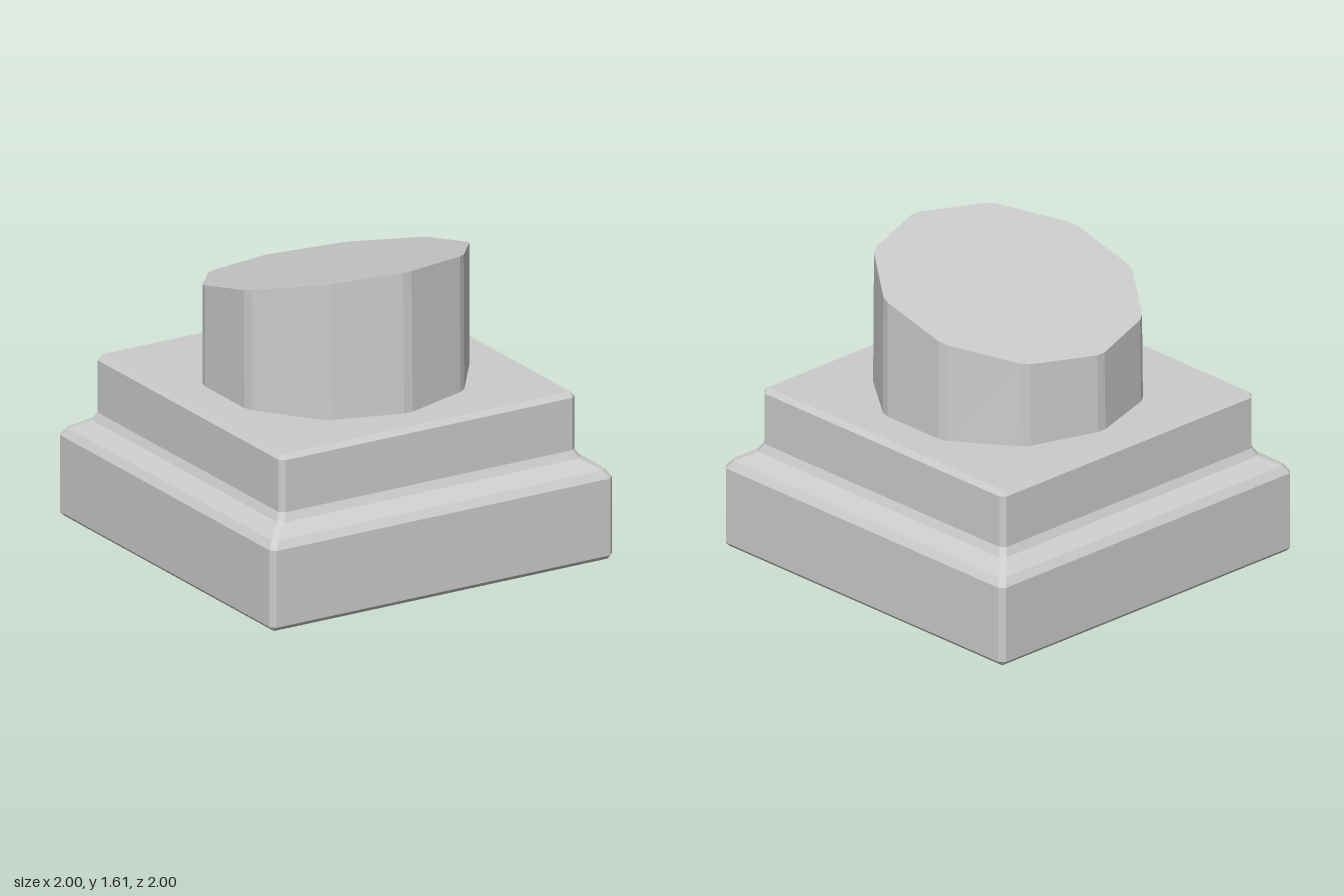
import * as THREE from 'three';

const material = new THREE.MeshStandardMaterial({ color: 0xcccccc, flatShading: true });

// Skin a stack of rings (counter-clockwise from above, bottom to top) and cap both ends
function loft(name, rings) {
  const n = rings[0].length;
  const index = [];
  for (let r = 0; r < rings.length - 1; r++) {
    for (let i = 0; i < n; i++) {
      const a = r * n + i, b = r * n + (i + 1) % n;
      index.push(a, b, b + n, a, b + n, a + n);
    }
  }
  const top = (rings.length - 1) * n;
  for (let i = 1; i < n - 1; i++) {
    index.push(0, i + 1, i);
    index.push(top, top + i, top + i + 1);
  }
  const indexed = new THREE.BufferGeometry();
  indexed.setAttribute('position', new THREE.Float32BufferAttribute(rings.flat(2), 3));
  indexed.setIndex(index);
  const geometry = indexed.toNonIndexed();
  geometry.computeVertexNormals();
  const mesh = new THREE.Mesh(geometry, material);
  mesh.name = name;
  return mesh;
}

// Square of half-width h at height y, corners cut by c
function squareRing(h, y, c) {
  const ring = [];
  let pair = [[h - c, h], [h, h - c]];
  for (let k = 0; k < 4; k++) {
    pair.forEach(([x, z]) => ring.push([x, y, z]));
    pair = pair.map(([x, z]) => [z, -x]);
  }
  return ring;
}

// Ten-sided ring with narrowly cut corners; height follows a rule of z
function decagonRing(radius, zScale, height) {
  const corners = [];
  for (let i = 0; i < 10; i++) {
    const a = (i * Math.PI) / 5;
    corners.push(new THREE.Vector2(Math.sin(a) * radius, Math.cos(a) * radius * zScale));
  }
  const cut = 0.062;
  return corners.flatMap((p, i) =>
    [corners[(i + 9) % 10], corners[(i + 1) % 10]].map((q) => {
      const v = p.clone().lerp(q, cut);
      return [v.x, height(v.y), v.y];
    }));
}

export function createModel() {
  const model = new THREE.Group();
  model.name = 'pedestal';

  // Stepped square base: half-width, height, corner cut
  const profile = [
    [0.975, 0, 0], [1, 0.025, 0.025], [1, 0.43, 0.025], [0.972, 0.47, 0.025],
    [0.887, 0.523, 0.025], [0.865, 0.565, 0.025], [0.865, 0.84, 0.025], [0.84, 0.866, 0],
  ];
  model.add(loft('steppedBase', profile.map(([h, y, c]) => squareRing(h, y, c))));

  // Ten-sided column with a top sloping down to the back
  model.add(loft('slantedColumn', [
    decagonRing(0.685, 0.992, () => 0.855),
    decagonRing(0.685, 0.98, (z) => 1.443 + 0.245 * z),
  ]));

  return model;
}
